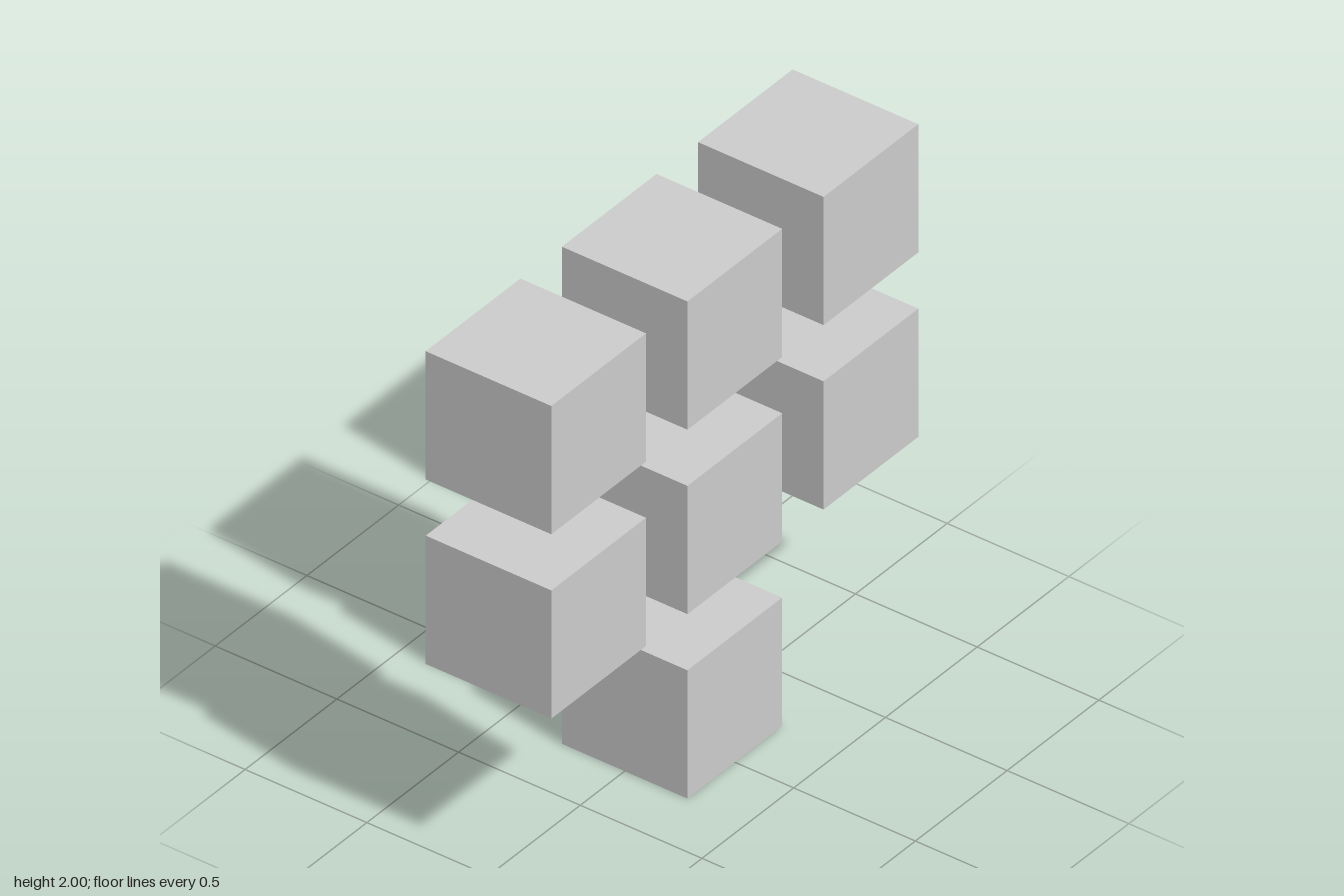
import * as THREE from 'three';

const SIZE = 0.516;             // cube edge
const STEP = (2 - SIZE) / 2;    // distance between cube centres

export function createModel() {
  const model = new THREE.Group();
  model.name = 'cubeCluster';
  const material = new THREE.MeshStandardMaterial({ color: 0xcccccc, flatShading: true });
  const geometry = new THREE.BoxGeometry(SIZE, SIZE, SIZE);

  // Rows from bottom to top, each listing its occupied columns
  const rows = [
    { name: 'bottom', columns: [0] },
    { name: 'middle', columns: [-1, 0, 1] },
    { name: 'top', columns: [-1, 0, 1] },
  ];
  const columnNames = { '-1': 'Right', 0: 'Centre', 1: 'Left' };

  rows.forEach(({ name, columns }, row) => {
    for (const column of columns) {
      const cube = new THREE.Mesh(geometry, material);
      cube.name = `${name}${columnNames[column]}Cube`;
      cube.position.set(column * STEP, SIZE / 2 + row * STEP, 0);
      model.add(cube);
    }
  });
  return model;
}
